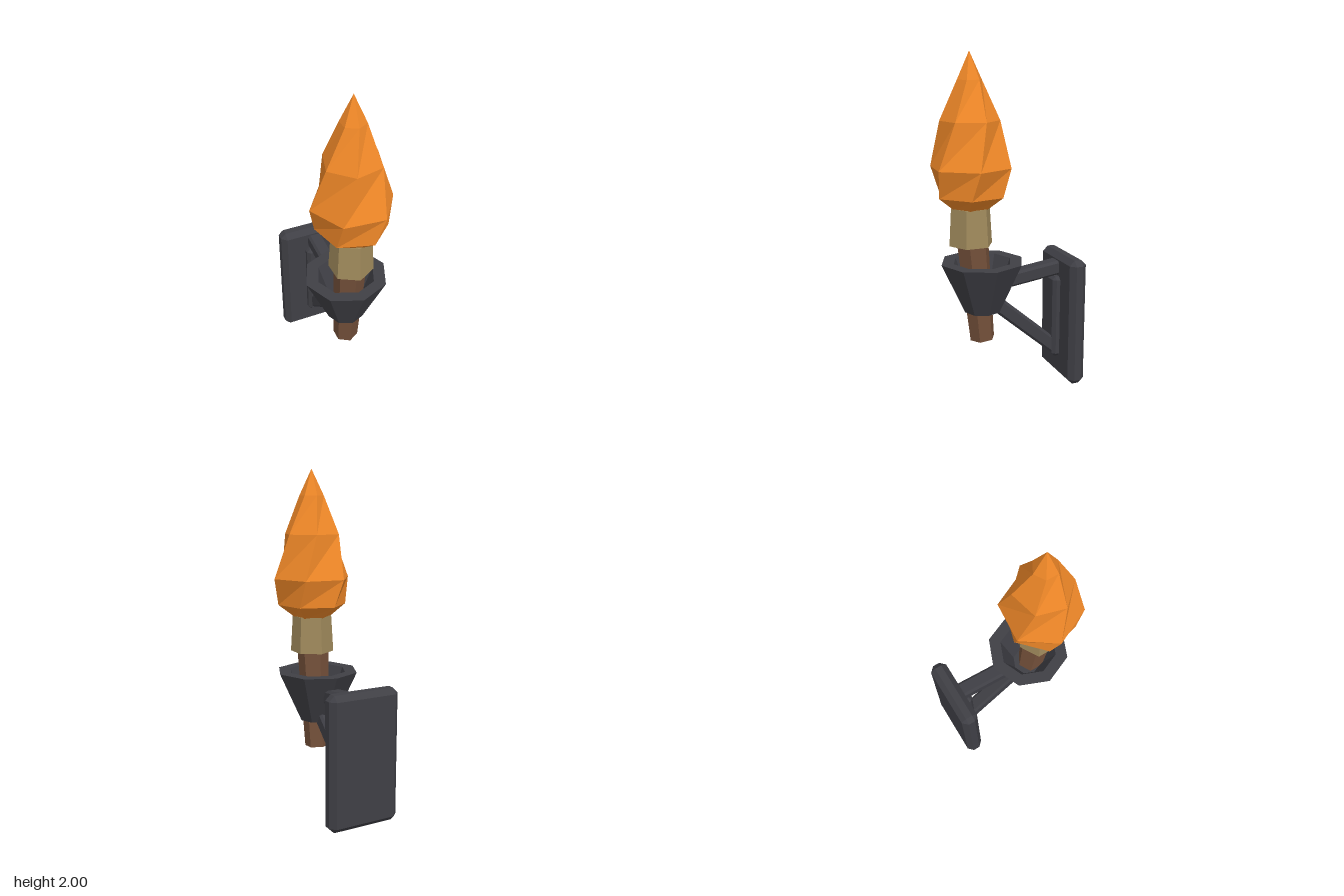
import * as THREE from 'three';
import { ConvexGeometry } from 'three/addons/geometries/ConvexGeometry.js';

const mat = (color) => new THREE.MeshStandardMaterial({ color, flatShading: true });

// Box with every edge cut back by c
function chamferBox(w, h, d, c) {
  const pts = [];
  for (const sx of [-1, 1]) for (const sy of [-1, 1]) for (const sz of [-1, 1]) {
    for (let k = 0; k < 3; k++) {
      const half = [w, h, d].map((s, i) => s / 2 - (i === k ? 0 : c));
      pts.push(new THREE.Vector3(sx * half[0], sy * half[1], sz * half[2]));
    }
  }
  return new ConvexGeometry(pts);
}

// Twisted six-sided flame from rings of [y, radius, angle in degrees], closed by a tip
function flameGeometry(rings, tipY, sides = 6) {
  const pos = [];
  const corner = ([y, r, deg], i) => {
    const a = THREE.MathUtils.degToRad(deg) + (i * Math.PI * 2) / sides;
    return [r * Math.cos(a), y, r * Math.sin(a)];
  };
  const last = rings[rings.length - 1];
  for (let i = 0; i < sides; i++) {
    pos.push(0, rings[0][0], 0, ...corner(rings[0], i), ...corner(rings[0], i + 1));
    for (let k = 0; k < rings.length - 1; k++) {
      const a = corner(rings[k], i), b = corner(rings[k], i + 1);
      const d = corner(rings[k + 1], i), c = corner(rings[k + 1], i + 1);
      pos.push(...a, ...d, ...b, ...b, ...d, ...c);
    }
    pos.push(...corner(last, i), 0, tipY, 0, ...corner(last, i + 1));
  }
  const geo = new THREE.BufferGeometry();
  geo.setAttribute('position', new THREE.Float32BufferAttribute(pos, 3));
  geo.computeVertexNormals();
  return geo;
}

export function createModel() {
  const model = new THREE.Group();
  model.name = 'wallTorch';
  const iron = mat(0x3f3f45), wood = mat(0x74503a), cloth = mat(0xa08a5c), fire = mat(0xf08828);

  const add = (name, geo, material, x, y, z) => {
    const mesh = new THREE.Mesh(geo, material);
    mesh.name = name;
    mesh.position.set(x, y, z);
    model.add(mesh);
    return mesh;
  };

  // Wall plate and the raised strip on it
  add('wallPlate', chamferBox(0.438, 0.79, 0.107, 0.032), iron, 0, 0.395, -0.384);
  add('mountingStrip', chamferBox(0.132, 0.52, 0.08, 0.02), iron, 0, 0.397, -0.327);

  // Bracket arms between plate and cup, given by [z, y] ends
  const addArm = (name, [z0, y0], [z1, y1]) => {
    const length = Math.hypot(z1 - z0, y1 - y0);
    const arm = add(name, chamferBox(0.093, 0.088, length, 0.014), iron, 0, (y0 + y1) / 2, (z0 + z1) / 2);
    arm.rotation.x = -Math.atan2(y1 - y0, z1 - z0);
  };
  addArm('upperArm', [-0.345, 0.712], [0.0, 0.665]);
  addArm('lowerArm', [-0.325, 0.185], [0.07, 0.525]);

  // Eight-sided holder cup with a flat rim
  const cupProfile = [[0, 0.49], [0.11, 0.49], [0.25, 0.795], [0.176, 0.795], [0.09, 0.56], [0, 0.56]]
    .map(([r, y]) => new THREE.Vector2(r, y));
  add('holderCup', new THREE.LatheGeometry(cupProfile, 8), iron, 0, 0, 0.152);

  // Slightly leaning wooden handle
  const handle = add('handle', new THREE.CylinderGeometry(0.099, 0.075, 0.69, 6), wood, 0, 0.657, 0.186);
  handle.rotation.x = 0.09;

  // Cloth wrap under the flame
  add('clothWrap', new THREE.CylinderGeometry(0.118, 0.131, 0.22, 6), cloth, 0, 1.015, 0.221);

  // Flame
  const rings = [[1.12, 0.11, 22], [1.195, 0.207, 17], [1.357, 0.24, 5.2], [1.62, 0.171, -13.3], [1.845, 0.073, -30]];
  add('flame', flameGeometry(rings, 2), fire, 0, 0, 0.219);

  return model;
}
